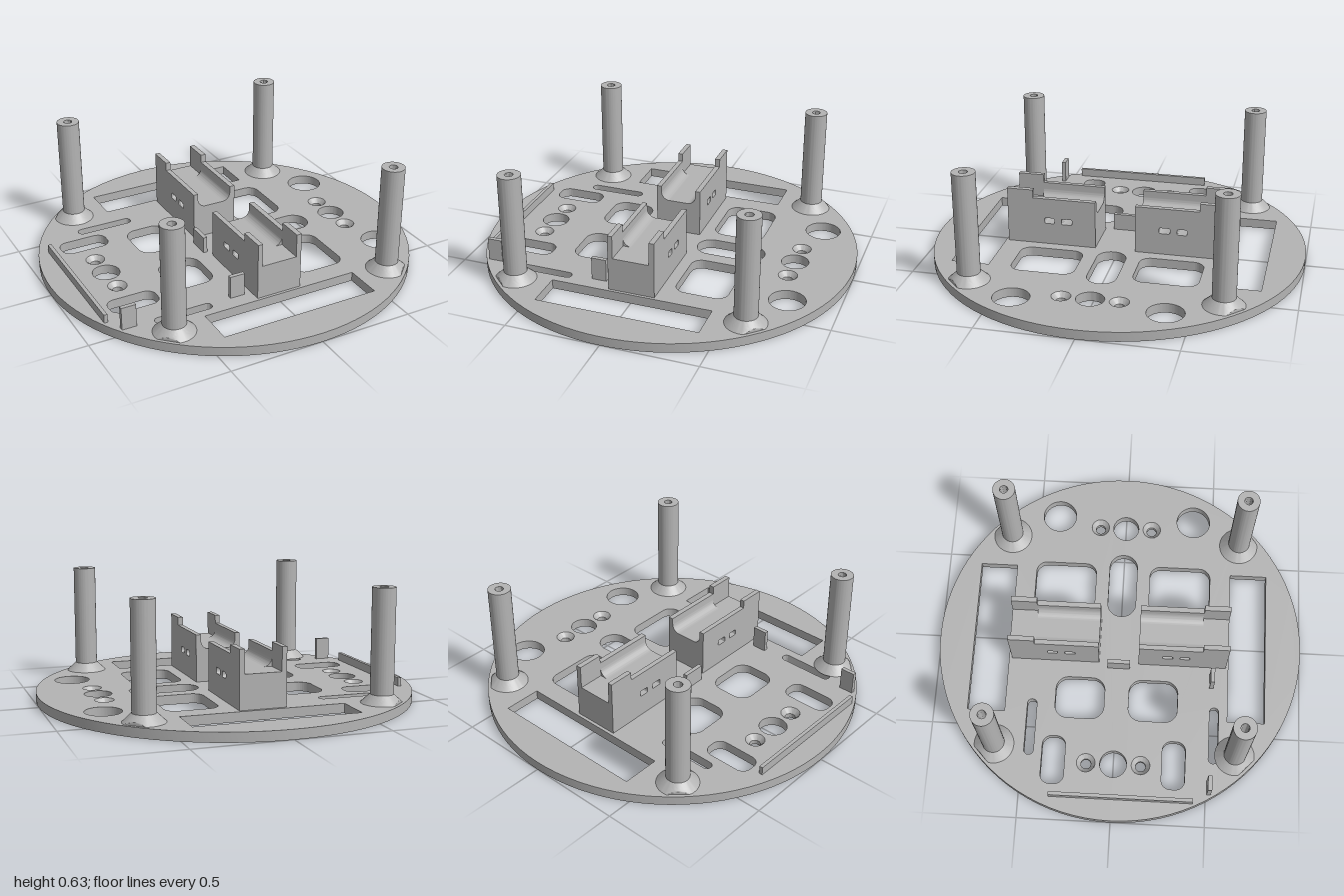
import * as THREE from 'three';
import { toCreasedNormals } from 'three/addons/utils/BufferGeometryUtils.js';

const T = 0.05; // plate thickness
const grey = new THREE.MeshStandardMaterial({ color: 0xb4b4b4 });
grey.name = 'grey plastic';

function addMesh(parent, name, geometry) {
  const mesh = new THREE.Mesh(toCreasedNormals(geometry, 0.5), grey);
  mesh.name = name;
  parent.add(mesh);
  return mesh;
}

function addBox(parent, name, x0, x1, y0, y1, z0, z1) {
  const mesh = addMesh(parent, name, new THREE.BoxGeometry(x1 - x0, y1 - y0, z1 - z0));
  mesh.position.set((x0 + x1) / 2, (y0 + y1) / 2, (z0 + z1) / 2);
}

function roundRect(x0, x1, y0, y1, r) {
  const p = new THREE.Path();
  if (r === 0) {
    return p.moveTo(x0, y0).lineTo(x1, y0).lineTo(x1, y1).lineTo(x0, y1).lineTo(x0, y0);
  }
  p.absarc(x1 - r, y0 + r, r, -Math.PI / 2, 0);
  p.absarc(x1 - r, y1 - r, r, 0, Math.PI / 2);
  p.absarc(x0 + r, y1 - r, r, Math.PI / 2, Math.PI);
  p.absarc(x0 + r, y0 + r, r, Math.PI, Math.PI * 1.5);
  return p;
}

const circle = (x, y, r) => new THREE.Path().absarc(x, y, r, 0, Math.PI * 2);
const lathe = (points, n) => new THREE.LatheGeometry(points.map(([r, y]) => new THREE.Vector2(r, y)), n);

// Round base plate with all of its cut-outs
function addPlate(group) {
  const shape = new THREE.Shape().absarc(0, 0, 1, 0, Math.PI * 2);
  const windows = [ // x0, x1, z0, z1, corner radius
    [-0.43, 0.43, -0.81, -0.607, 0], [-0.43, 0.43, 0.605, 0.807, 0],
    [-0.665, -0.355, -0.485, -0.433, 0.025], [-0.665, -0.355, 0.508, 0.558, 0.024],
    [-0.817, -0.555, -0.387, -0.262, 0.05], [-0.817, -0.555, 0.26, 0.385, 0.05],
    [-0.45, -0.218, -0.335, -0.068, 0.07], [-0.45, -0.218, 0.065, 0.332, 0.07],
    [0.183, 0.46, -0.495, -0.155, 0.06], [0.183, 0.46, 0.15, 0.49, 0.06],
    [0.15, 0.522, -0.08, 0.076, 0.076],
  ];
  for (const w of windows) shape.holes.push(roundRect(...w));
  const rounds = [[0.75, -0.385, 0.094], [0.75, 0.385, 0.094], [-0.695, 0, 0.072], [0.69, 0, 0.072]];
  for (const c of rounds) shape.holes.push(circle(...c));

  // Countersunk screw holes, lined with a funnel
  for (const x of [-0.695, 0.69]) {
    for (const z of [-0.147, 0.147]) {
      shape.holes.push(circle(x, z, 0.05));
      const funnel = addMesh(group, 'countersink', lathe([[0.05, T], [0.027, 0.024], [0.027, 0], [0.05, 0]], 48));
      funnel.position.set(x, 0, z);
    }
  }
  const geo = new THREE.ExtrudeGeometry(shape, { depth: T, bevelEnabled: false, curveSegments: 48 });
  geo.rotateX(Math.PI / 2).translate(0, T, 0);
  addMesh(group, 'basePlate', geo);
}

// Hollow-topped post whose flared foot is trimmed flat towards the rim
function addPost(group, x, z) {
  const profile = [];
  for (let i = 0; i <= 8; i++) profile.push([0.107 - 0.047 * i / 8, T + 0.045 * i / 8]);
  profile.push([0.06, 0.635], [0.022, 0.635], [0.022, 0.4], [0, 0.4]);
  const geo = lathe(profile, 64);
  const out = new THREE.Vector3(x, 0, z).normalize();
  const v = new THREE.Vector3();
  const pos = geo.attributes.position;
  for (let i = 0; i < pos.count; i++) {
    v.fromBufferAttribute(pos, i);
    const over = v.dot(out) - 0.09;
    if (over > 0) {
      v.addScaledVector(out, -over);
      pos.setXYZ(i, v.x, v.y, v.z);
    }
  }
  addMesh(group, 'post', geo).position.set(x, 0, z);
}

// Cradle block: slotted base, rounded trough and two tall end walls
function addCradle(group, side) {
  const cradle = new THREE.Group();
  cradle.name = side > 0 ? 'frontCradle' : 'backCradle';
  const x0 = -0.126, x1 = 0.122, in0 = -0.1, in1 = 0.094;
  const floor = 0.23, rim = 0.31, r = 0.045;
  const span = (a, b) => (side > 0 ? [a, b] : [-b, -a]);

  const profile = new THREE.Shape(roundRect(...span(0.108, 0.59), T, floor, 0).getPoints());
  for (const [a, b] of [[0.236, 0.294], [0.332, 0.386]]) {
    profile.holes.push(roundRect(...span(a, b), 0.168, 0.2, 0.008));
  }
  const base = new THREE.ExtrudeGeometry(profile, { depth: x1 - x0, bevelEnabled: false, curveSegments: 6 });
  // Profile runs along z, so mirror its axis by turning towards -x
  base.rotateY(-Math.PI / 2).translate(x1, 0, 0);
  addMesh(cradle, 'cradleBase', base);

  const [z0, z1] = span(0.108, 0.45);
  const cheeks = [
    new THREE.Shape().moveTo(x0, floor).lineTo(in0 + r, floor)
      .absarc(in0 + r, floor + r, r, -Math.PI / 2, -Math.PI, true)
      .lineTo(in0, rim).lineTo(x0, rim),
    new THREE.Shape().moveTo(x1, floor).lineTo(x1, rim).lineTo(in1, rim)
      .lineTo(in1, floor + r)
      .absarc(in1 - r, floor + r, r, 0, -Math.PI / 2, true),
  ];
  for (const cheek of cheeks) {
    const geo = new THREE.ExtrudeGeometry(cheek, { depth: z1 - z0, bevelEnabled: false, curveSegments: 12 });
    addMesh(cradle, 'troughSide', geo.translate(0, 0, z0));
  }
  const end = span(0.45, 0.59);
  addBox(cradle, 'endWall', x0, in0, floor, 0.355, ...end);
  addBox(cradle, 'endWall', in1, x1, floor, 0.355, ...end);
  group.add(cradle);
}

export function createModel() {
  const group = new THREE.Group();
  group.name = 'roundChassisPlate';
  addPlate(group);
  for (const x of [-0.616, 0.614]) for (const z of [-0.647, 0.647]) addPost(group, x, z);
  for (const side of [1, -1]) addCradle(group, side);

  // Low rail and upright tabs
  addBox(group, 'sideRail', -0.887, -0.868, T, 0.095, -0.335, 0.43);
  addBox(group, 'outerTab', -0.835, -0.757, T, 0.172, 0.503, 0.525);
  addBox(group, 'innerTab', -0.245, -0.165, T, 0.172, 0.503, 0.525);
  addBox(group, 'centreTab', -0.157, -0.135, T, 0.14, -0.06, 0.062);
  return group;
}
